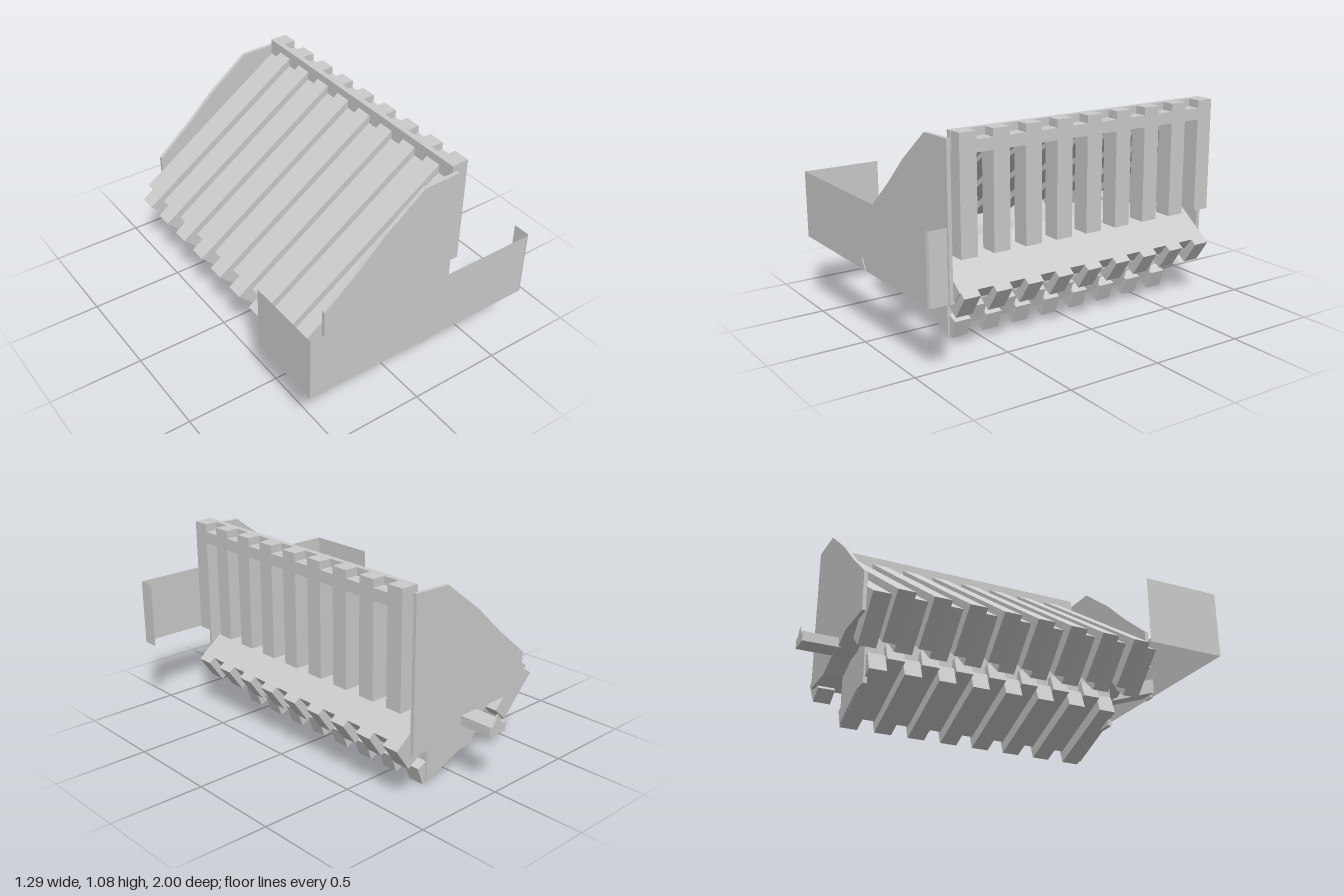
import * as THREE from 'three';

const mat = new THREE.MeshStandardMaterial({ color: 0xcccccc, flatShading: true, side: THREE.DoubleSide });

export function createModel() {
  const root = new THREE.Group();

  function add(geometry, name) {
    const mesh = new THREE.Mesh(geometry, mat);
    mesh.name = name;
    root.add(mesh);
  }
  const outline = points => new THREE.Shape(points.map(p => new THREE.Vector2(p[0], p[1])));
  // Front profile (x, y) extruded from z0 to z1
  function prism(name, points, z0, z1) {
    const g = new THREE.ExtrudeGeometry(outline(points), { depth: z1 - z0, bevelEnabled: false });
    add(g.translate(0, 0, z0), name);
  }
  function box(name, x0, x1, y0, y1, z0, z1) {
    const g = new THREE.BoxGeometry(x1 - x0, y1 - y0, z1 - z0);
    add(g.translate((x0 + x1) / 2, (y0 + y1) / 2, (z0 + z1) / 2), name);
  }

  const pitch = 0.179, half = 0.045;
  const outerZ = Array.from({ length: 9 }, (_, i) => -0.757 + i * pitch);
  const innerZ = Array.from({ length: 8 }, (_, i) => -0.667 + i * pitch);
  const row = (name, zs, points) => zs.forEach(z => prism(name, points, z - half, z + half));

  // End plates and the thin underside of the hollow housing
  const lower = [[-0.385, 0.36], [-0.15, 0.36], [-0.04, 0.31], [0.05, 0.305], [0.18, 0.255], [0.385, 0.255]];
  const endProfile = [...lower, [0.385, 1.045], [0.18, 1.04], [-0.04, 0.87], [-0.2, 0.72], [-0.385, 0.565]];
  prism('frontEndPlate', endProfile, 0.725, 0.745);
  prism('backEndPlate', endProfile, -0.82, -0.80);
  const inner = lower.map(([x, y]) => [x, y + 0.015]).reverse();
  prism('underside', [...lower, ...inner], -0.80, 0.725);

  // Straight roof slats, alternately high and low, each with a hooked lower end
  row('highRoofSlat', innerZ, [
    [-0.56, 0.41], [-0.37, 0.225], [-0.30, 0.29], [-0.42, 0.41], [0.36, 0.955], [0.36, 1.04]]);
  row('lowRoofSlat', outerZ, [
    [-0.48, 0.42], [-0.29, 0.225], [-0.22, 0.29], [-0.35, 0.42], [0.36, 0.93], [0.36, 0.995]]);

  // Upright bars and the rail that joins their tops
  outerZ.forEach(z => box('uprightBar', 0.358, 0.455, 0.49, 1.08, z - half, z + half));
  innerZ.forEach(z => box('railBlock', 0.358, 0.455, 0.98, 1.04, z - half, z + half));
  box('topRail', 0.358, 0.387, 0.98, 1.08, -0.80, 0.725);

  // Sloped floor inside the open side, ending in a row of teeth
  prism('slopedFloor', [[0.22, 0.49], [0.18, 0.43], [0.40, 0.27], [0.445, 0.327]], -0.80, 0.725);
  row('sideTooth', outerZ, [[0.475, 0.305], [0.395, 0.19], [0.32, 0.24], [0.40, 0.36]]);

  // Lower body, its end plates, and two staggered rows of tilted slats
  prism('lowerBody', [[-0.15, 0.36], [-0.15, 0.25], [0.18, 0.12], [0.18, 0.26], [0, 0.33]], -0.70, 0.62);
  const lowerEnd = [[-0.15, 0.36], [-0.15, 0.105], [-0.06, 0.105], [0.18, 0.01], [0.18, 0.26], [0, 0.33]];
  prism('lowerFrontPlate', lowerEnd, 0.62, 0.64);
  prism('lowerBackPlate', lowerEnd, -0.72, -0.70);
  row('lowSlat', innerZ, [[-0.205, 0.16], [0.2, 0], [0.235, 0.095], [-0.17, 0.255]]);
  row('raisedLowSlat', outerZ.slice(1, 8), [[-0.205, 0.225], [0.2, 0.06], [0.235, 0.155], [-0.175, 0.31]]);

  // Back lug, rising front arm, and a small point on each
  box('backLug', -0.05, 0.06, 0.31, 0.36, -1, -0.81);
  const arm = outline([[0.73, 0.30], [0.93, 0.37], [0.99, 0.39], [0.99, 0.47], [0.9, 0.44], [0.73, 0.38]]);
  const armGeometry = new THREE.ExtrudeGeometry(arm, { depth: 0.11, bevelEnabled: false });
  add(armGeometry.rotateY(-Math.PI / 2).translate(0.06, 0, 0), 'frontArm');
  prism('frontPoint', [[-0.025, 0.37], [0.035, 0.37], [0.005, 0.43]], 0.99, 1);
  prism('backPoint', [[-0.025, 0.355], [0.035, 0.355], [0.005, 0.41]], -1, -0.99);

  // Thin front shield with a long and a short side return
  const sheet = (name, x0, z0, x1, z1) => {
    const g = new THREE.PlaneGeometry(Math.hypot(x1 - x0, z1 - z0), 0.35);
    g.rotateY(-Math.atan2(z1 - z0, x1 - x0));
    add(g.translate((x0 + x1) / 2, 0.547, (z0 + z1) / 2), name);
  };
  sheet('shieldFront', -0.643, 0.995, 0.625, 0.995);
  sheet('shieldCorner', 0.625, 0.995, 0.643, 0.99);
  sheet('shieldShortSide', 0.643, 0.99, 0.643, 0.9);
  sheet('shieldLongSide', -0.643, 0.58, -0.643, 0.995);

  return root;
}
